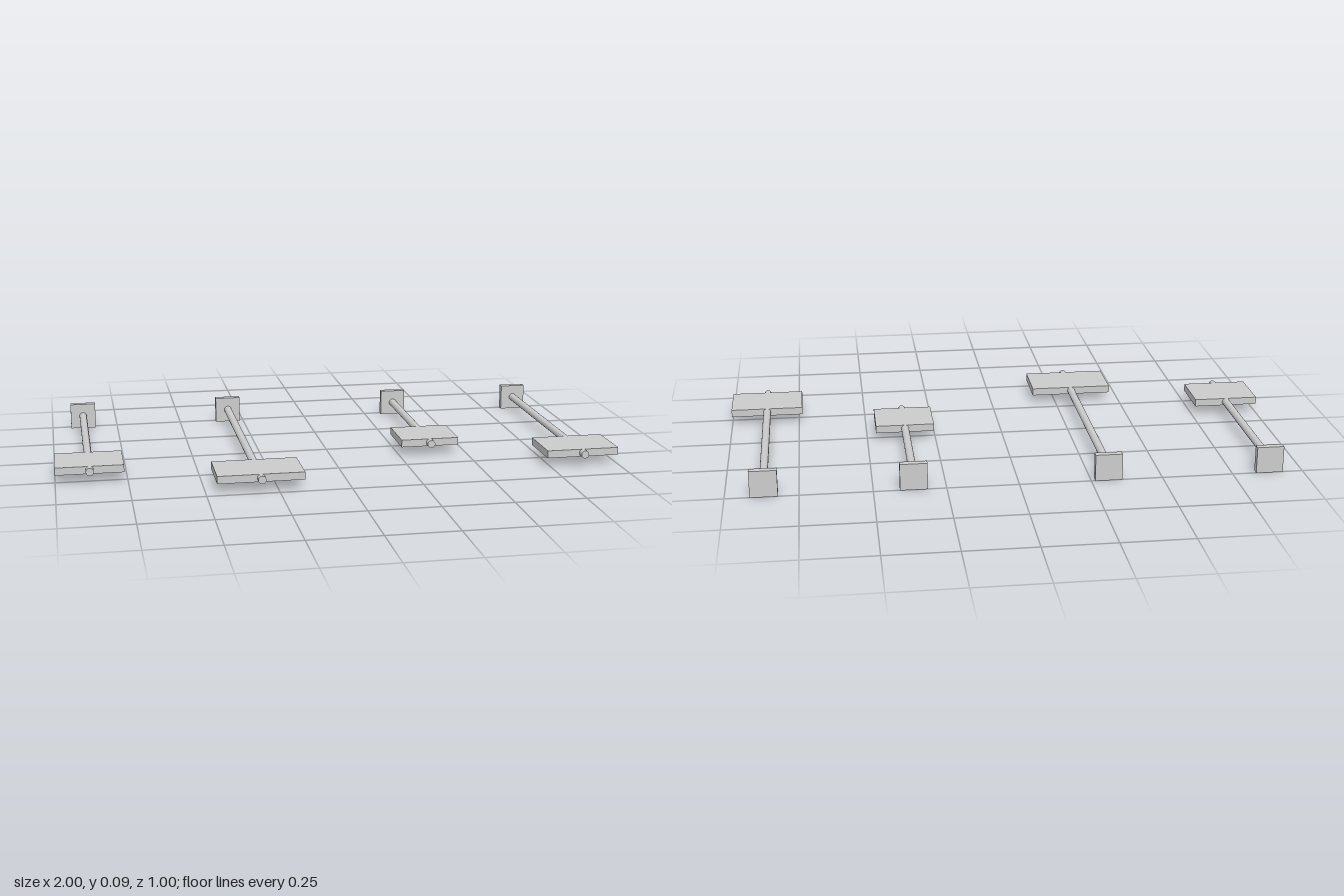
import * as THREE from 'three';

const MID_Y = 0.0475; // common centre height
const BACK = -0.502; // rear face of the wall plates
const PLATE = { size: 0.095, depth: 0.024 };
const BOARD = { thickness: 0.027, depth: 0.184, inset: 0.025 };
const ROD_RADIUS = 0.014;

const material = new THREE.MeshStandardMaterial({ color: 0xcccccc });

function part(name, geometry, z) {
  const mesh = new THREE.Mesh(geometry, material);
  mesh.name = name;
  mesh.position.z = z;
  return mesh;
}

// One arm: wall plate at the back, long rod, flat board near the rod's tip
function createArm(x, rodEnd, boardWidth) {
  const arm = new THREE.Group();
  arm.position.set(x, MID_Y, 0);

  const plate = new THREE.BoxGeometry(PLATE.size, PLATE.size, PLATE.depth);
  arm.add(part('wallPlate', plate, BACK + PLATE.depth / 2));

  const rodStart = BACK + PLATE.depth / 2;
  const rod = new THREE.CylinderGeometry(ROD_RADIUS, ROD_RADIUS, rodEnd - rodStart, 32);
  rod.rotateX(Math.PI / 2);
  arm.add(part('rod', rod, (rodStart + rodEnd) / 2));

  const board = new THREE.BoxGeometry(boardWidth, BOARD.thickness, BOARD.depth);
  arm.add(part('board', board, rodEnd - BOARD.inset - BOARD.depth / 2));
  return arm;
}

export function createModel() {
  const model = new THREE.Group();
  model.name = 'wallArms';

  // x position, rod tip z, board width
  const arms = [
    [-0.881, 0.302, 0.238],
    [-0.311, 0.502, 0.302],
    [0.362, 0.167, 0.213],
    [0.868, 0.402, 0.264],
  ];
  arms.forEach(([x, rodEnd, width], i) => {
    const arm = createArm(x, rodEnd, width);
    arm.name = `arm${i + 1}`;
    model.add(arm);
  });
  return model;
}
